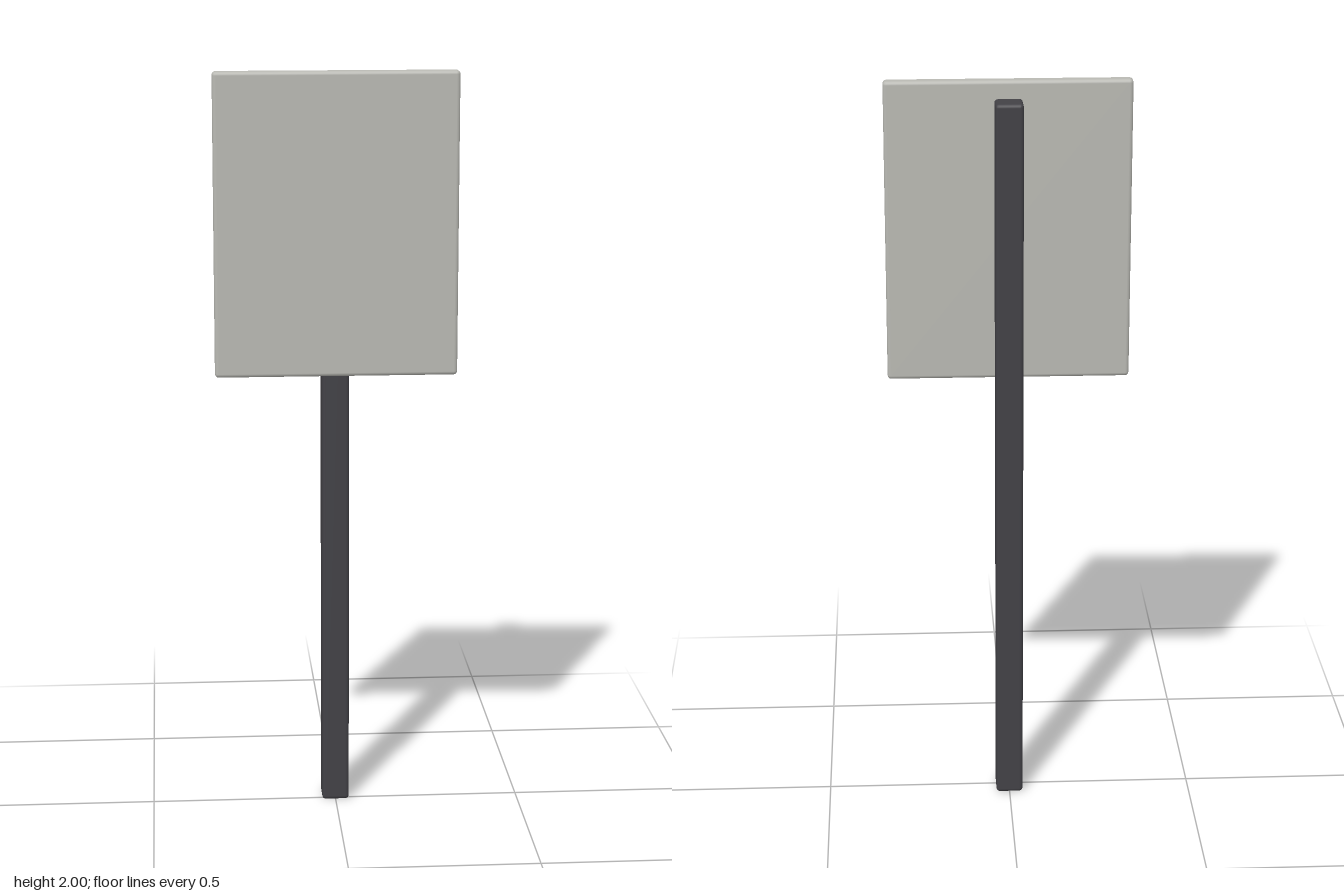
import * as THREE from 'three';
import { RoundedBoxGeometry } from 'three/addons/geometries/RoundedBoxGeometry.js';

const EDGE = 0.01; // softened edge radius

function addBox(group, name, material, [w, h, d], [x, y, z]) {
  const mesh = new THREE.Mesh(new RoundedBoxGeometry(w, h, d, 2, EDGE), material);
  mesh.name = name;
  mesh.position.set(x, y, z);
  group.add(mesh);
}

export function createModel() {
  const group = new THREE.Group();
  group.name = 'signPost';

  const darkMetal = new THREE.MeshStandardMaterial({ color: 0x424146 });
  darkMetal.name = 'dark metal';
  const paleGrey = new THREE.MeshStandardMaterial({ color: 0xb9b9b3 });
  paleGrey.name = 'pale grey';

  // Square post standing on the ground, behind the board
  addBox(group, 'post', darkMetal, [0.073, 1.955, 0.073], [0, 0.9775, -0.0185]);

  // Blank board fixed to the front of the post
  addBox(group, 'signBoard', paleGrey, [0.64, 0.8, 0.037], [0, 1.6, 0.0365]);

  return group;
}
